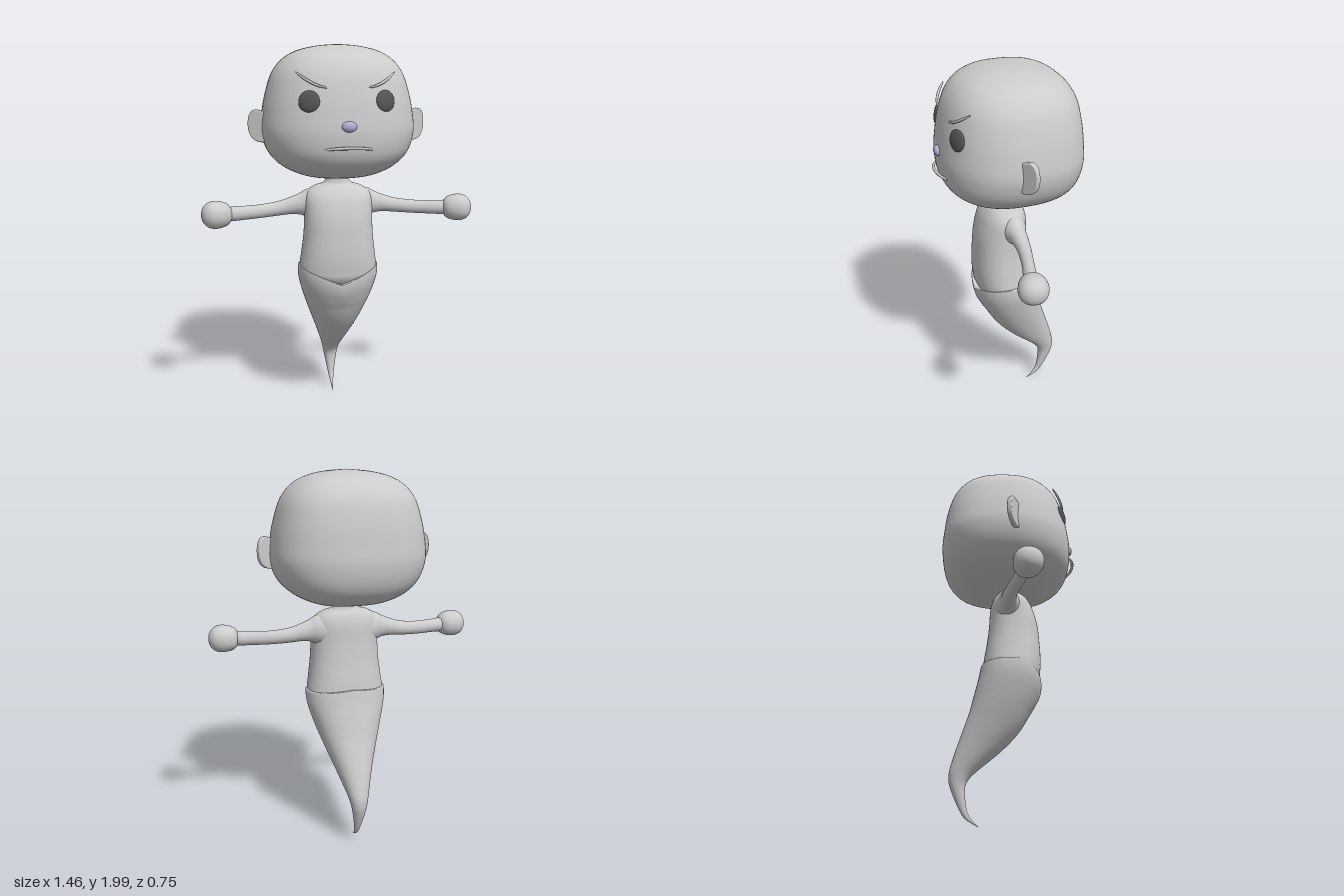
import * as THREE from 'three';

const grey = new THREE.MeshStandardMaterial({ color: 0xcccccc });
const dark = new THREE.MeshStandardMaterial({ color: 0x555555 });
const lilac = new THREE.MeshStandardMaterial({ color: 0xb4aed0 });

// Superellipse rings lofted upwards; row = [y, halfWidth, zFront, zBack, xCentre]
function loft(rows, { seg = 56, steps = 60, powFront = 2, powBack = 2, warp } = {}) {
  const size = new THREE.CatmullRomCurve3(rows.map(r => new THREE.Vector3(r[1], r[0], r[4] || 0)), false, 'catmullrom');
  const depth = new THREE.CatmullRomCurve3(rows.map(r => new THREE.Vector3(r[2], r[3], 0)), false, 'catmullrom');
  const pos = [], idx = [], v = new THREE.Vector3();
  const bend = (c, p) => Math.sign(c) * Math.pow(Math.abs(c), 2 / p);
  for (let j = 0; j <= steps; j++) {
    const s = size.getPoint(j / steps), d = depth.getPoint(j / steps);
    const cz = (d.x + d.y) / 2, rz = (d.x - d.y) / 2;
    for (let i = 0; i < seg; i++) {
      const a = (i / seg) * Math.PI * 2, p = Math.sin(a) > 0 ? powFront : powBack;
      v.set(s.z + s.x * bend(Math.cos(a), p), s.y, cz + rz * bend(Math.sin(a), p));
      if (warp) warp(v, cz);
      pos.push(v.x, v.y, v.z);
      if (j < steps) {
        const a0 = j * seg + i, b0 = j * seg + (i + 1) % seg;
        idx.push(a0, a0 + seg, b0, b0, a0 + seg, b0 + seg);
      }
    }
  }
  const g = new THREE.BufferGeometry();
  g.setAttribute('position', new THREE.Float32BufferAttribute(pos, 3));
  g.setIndex(idx);
  g.computeVertexNormals();
  return g;
}

// Mirrored copy with its faces turned the right way round
function mirrored(geo) {
  const g = geo.index ? geo.toNonIndexed() : geo.clone();
  for (const att of [g.attributes.position, g.attributes.normal]) {
    const t = new THREE.Vector3(), u = new THREE.Vector3();
    for (let i = 0; i < att.count; i += 3) {
      for (let k = 0; k < 3; k++) att.setX(i + k, -att.getX(i + k));
      t.fromBufferAttribute(att, i + 1);
      u.fromBufferAttribute(att, i + 2);
      att.setXYZ(i + 1, u.x, u.y, u.z);
      att.setXYZ(i + 2, t.x, t.y, t.z);
    }
  }
  return g;
}

// Thin stroke with rounded ends
function stroke(points, r) {
  const curve = new THREE.CatmullRomCurve3(points.map(p => new THREE.Vector3(...p)));
  const g = new THREE.TubeGeometry(curve, 28, r, 8), p = g.attributes.position, v = new THREE.Vector3();
  for (let i = 0; i < p.count; i++) {
    const t = Math.floor(i / 9) / 28, c = curve.getPointAt(t);
    v.fromBufferAttribute(p, i).sub(c).multiplyScalar(Math.pow(Math.sin(Math.PI * t), 0.3)).add(c);
    p.setXYZ(i, v.x, v.y, v.z);
  }
  return g;
}

export function createModel() {
  const group = new THREE.Group();
  const add = (name, geo, mat = grey) => {
    const m = new THREE.Mesh(geo, mat);
    m.name = name;
    group.add(m);
  };
  const pair = (name, geo, mat) => {
    add('left' + name, geo, mat);
    add('right' + name, mirrored(geo), mat);
  };

  // Head: rounded block, wider at the cheeks
  add('head', loft([
    [1.305, 0, 0, -0.02], [1.311, 0.11, 0.1, -0.13], [1.332, 0.21, 0.2, -0.23], [1.38, 0.305, 0.285, -0.31],
    [1.45, 0.37, 0.335, -0.355], [1.55, 0.402, 0.35, -0.375], [1.65, 0.396, 0.342, -0.37],
    [1.75, 0.376, 0.325, -0.358], [1.85, 0.343, 0.295, -0.333], [1.92, 0.29, 0.248, -0.288],
    [1.965, 0.215, 0.18, -0.22], [1.99, 0.115, 0.095, -0.125], [2, 0, 0, -0.01],
  ], { seg: 80, steps: 84, powFront: 2.3, powBack: 2.6 }));

  // Torso with neck, tucked into the tail at the bottom
  add('torso', loft([
    [0.7, 0.15, 0.11, -0.12], [0.77, 0.198, 0.16, -0.135], [0.82, 0.21, 0.17, -0.138], [0.9, 0.2, 0.175, -0.13],
    [1, 0.188, 0.17, -0.115], [1.1, 0.183, 0.16, -0.105], [1.19, 0.182, 0.135, -0.1], [1.235, 0.165, 0.11, -0.09],
    [1.262, 0.125, 0.085, -0.078], [1.275, 0.08, 0.068, -0.065], [1.3, 0.06, 0.062, -0.058], [1.34, 0.058, 0.06, -0.056],
  ], { powFront: 2.3, powBack: 2.3 }));

  // Ghostly tail: the rim dips to a V in front and rises behind
  add('tail', loft([
    [0.01, 0.001, -0.144, -0.147], [0.05, 0.009, -0.182, -0.212], [0.1, 0.018, -0.206, -0.246],
    [0.2, 0.036, -0.216, -0.29], [0.25, 0.046, -0.198, -0.3], [0.3, 0.06, -0.15, -0.296], [0.4, 0.094, -0.035, -0.268],
    [0.5, 0.131, 0.055, -0.235], [0.6, 0.168, 0.115, -0.203], [0.7, 0.201, 0.155, -0.176], [0.76, 0.216, 0.171, -0.16],
    [0.81, 0.219, 0.177, -0.15], [0.823, 0.214, 0.172, -0.145], [0.82, 0.19, 0.15, -0.125],
  ], {
    steps: 78, powFront: 2.15, powBack: 2.2,
    warp: (v, cz) => {
      if (v.y < 0.6) return;
      const side = Math.min(1, Math.abs(v.x) / 0.215);
      const rim = v.z > cz ? 0.745 + 0.085 * side : 0.83 + 0.02 * (1 - side);
      v.y = 0.6 + (v.y - 0.6) * (rim - 0.6) / 0.22;
    },
  }));

  // Arms: lofted along the body's sideways axis, flaring into the shoulder
  const arm = loft([
    [0.1, 0.09, 0.075, -0.085, -1.16], [0.165, 0.077, 0.06, -0.065, -1.167], [0.2, 0.06, 0.047, -0.052, -1.165],
    [0.25, 0.047, 0.038, -0.045, -1.157], [0.32, 0.039, 0.037, -0.035, -1.144], [0.42, 0.036, 0.053, -0.012, -1.135],
    [0.52, 0.037, 0.08, 0.012, -1.133], [0.575, 0.038, 0.094, 0.022, -1.133], [0.59, 0.02, 0.08, 0.04, -1.133],
  ], { seg: 28, steps: 36 });
  arm.rotateZ(-Math.PI / 2);
  pair('Arm', arm);

  // Ball hands, slightly squared
  const hand = loft([
    [-0.08, 0, 0, 0], [-0.074, 0.032, 0.032, -0.032], [-0.05, 0.059, 0.06, -0.06], [0, 0.072, 0.074, -0.074],
    [0.04, 0.066, 0.068, -0.068], [0.066, 0.045, 0.046, -0.046], [0.077, 0.022, 0.022, -0.022], [0.08, 0, 0, 0],
  ], { seg: 32, steps: 35, powFront: 2.15, powBack: 2.15 });
  hand.rotateZ(-Math.PI / 2).rotateY(-0.2).translate(0.648, 1.134, 0.075);
  pair('Hand', hand);

  // Ears: thin rounded plates swept slightly back
  const shape = new THREE.Shape();
  shape.moveTo(-0.05, -0.07);
  shape.bezierCurveTo(0.02, -0.09, 0.062, -0.06, 0.065, 0);
  shape.bezierCurveTo(0.068, 0.06, 0.045, 0.085, 0.02, 0.079);
  shape.lineTo(-0.05, 0.06);
  const ear = new THREE.ExtrudeGeometry(shape, {
    depth: 0.014, bevelSize: 0.006, bevelThickness: 0.006, bevelSegments: 3, curveSegments: 16,
  });
  ear.rotateY(0.5).translate(0.402, 1.583, 0.017);
  pair('Ear', ear);

  // Face: eyes, brows, nose and mouth
  const eye = new THREE.SphereGeometry(0.054, 32, 20);
  eye.scale(1, 1, 0.3).rotateX(-0.14).rotateY(0.4).translate(0.19, 1.72, 0.296);
  pair('Eye', eye, dark);
  pair('Brow', stroke([[0.1, 1.785, 0.311], [0.15, 1.798, 0.304], [0.2, 1.824, 0.283], [0.25, 1.862, 0.243]], 0.007));

  const nose = new THREE.SphereGeometry(1, 28, 18);
  nose.scale(0.038, 0.027, 0.022).translate(0, 1.6, 0.347);
  add('nose', nose, lilac);
  add('mouth', stroke([[-0.14, 1.484, 0.315], [-0.07, 1.494, 0.356], [0, 1.497, 0.367], [0.07, 1.494, 0.356], [0.145, 1.482, 0.312]], 0.008));

  return group;
}
